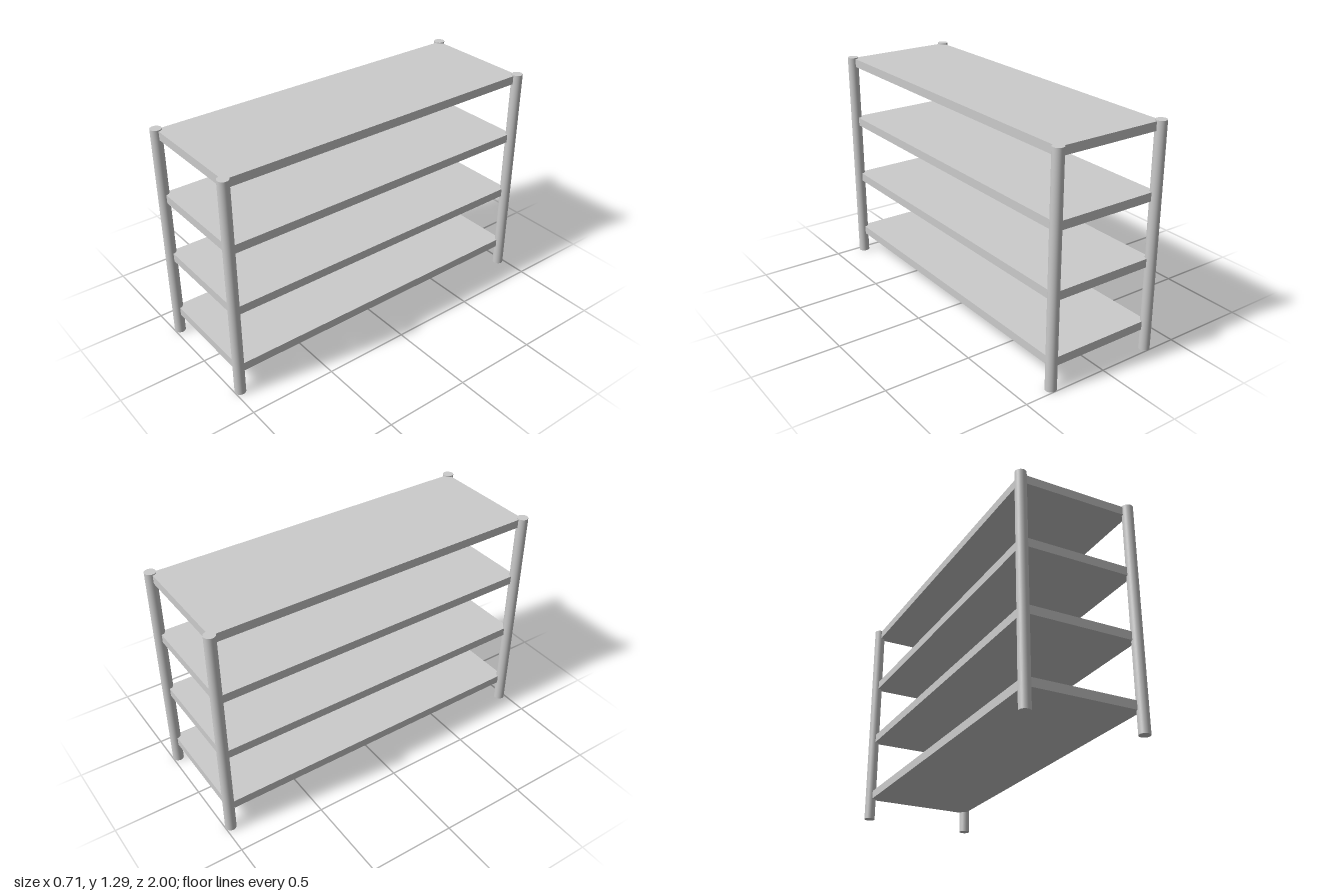
import * as THREE from 'three';

export function createModel() {
  const group = new THREE.Group();
  const material = new THREE.MeshStandardMaterial({ color: 0xcccccc });

  const postX = 0.323, postZ = 0.969, postRadius = 0.031, height = 1.29;
  const shelfThickness = 0.049;
  const shelfCentres = [0.148, 0.519, 0.889, 1.26];

  function add(name, geometry, x, y, z) {
    const mesh = new THREE.Mesh(geometry, material);
    mesh.name = name;
    mesh.position.set(x, y, z);
    group.add(mesh);
  }

  // Round corner posts
  const post = new THREE.CylinderGeometry(postRadius, postRadius, height, 32);
  for (const [side, sx] of [['Left', 1], ['Right', -1]]) {
    for (const [end, sz] of [['front', 1], ['back', -1]]) {
      add(`${end}${side}Post`, post, sx * postX, height / 2, sz * postZ);
    }
  }

  // Shelf boards, reaching into the post centres
  const board = new THREE.BoxGeometry(postX * 2, shelfThickness, postZ * 2);
  shelfCentres.forEach((y, i) => add(`shelf${i + 1}`, board, 0, y, 0));

  return group;
}
